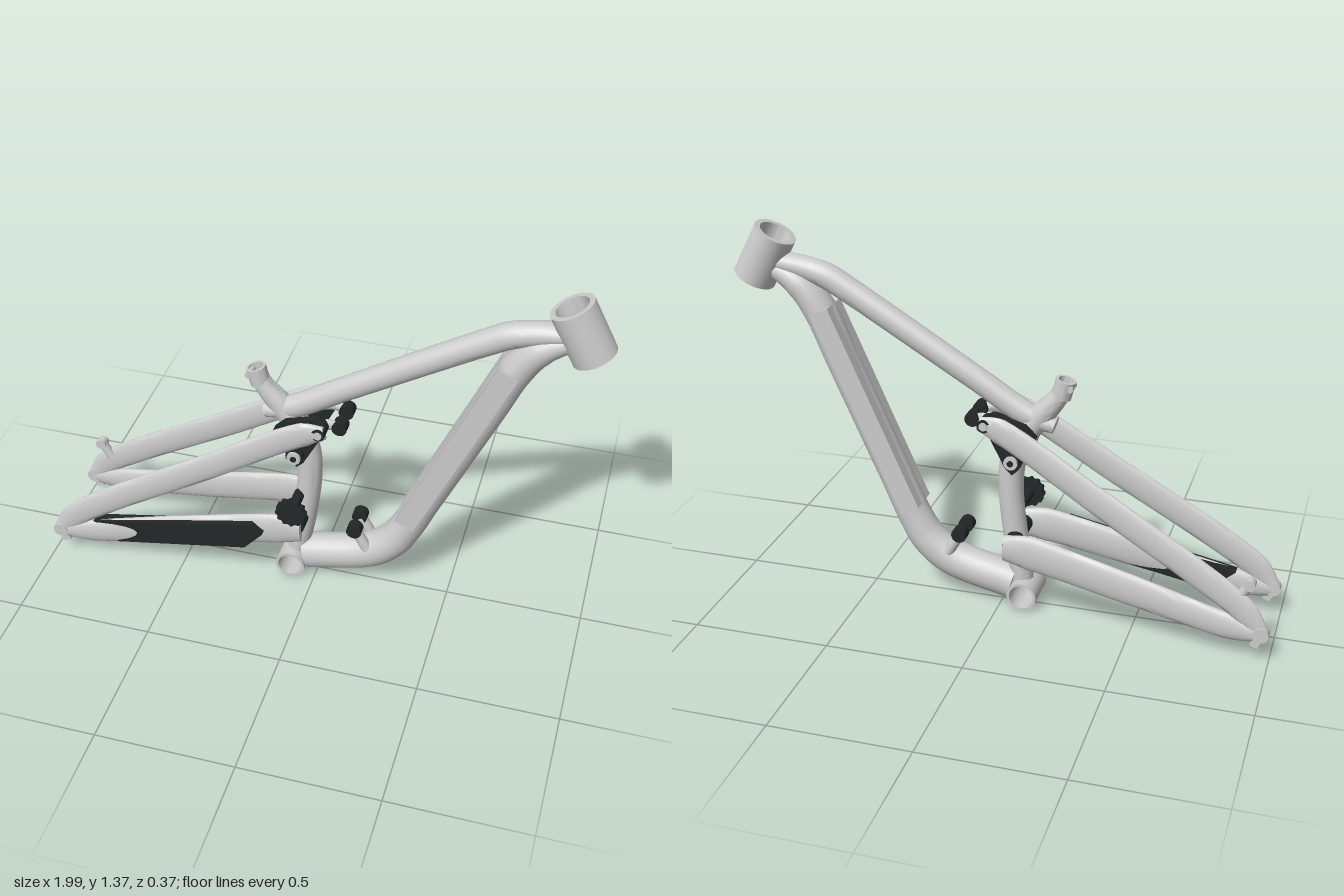
import * as THREE from 'three';
import { toCreasedNormals } from 'three/addons/utils/BufferGeometryUtils.js';

const grey = new THREE.MeshStandardMaterial({ color: 0xcccccc });
const dark = new THREE.MeshStandardMaterial({ color: 0x232727 });
const V = (x, y, z = 0) => new THREE.Vector3(x, y, z);
const UP = V(0, 1, 0);

function add(parent, name, geometry, material = grey) {
  const mesh = new THREE.Mesh(geometry, material);
  mesh.name = name;
  parent.add(mesh);
  return mesh;
}

// Oval tube through stations [x, y, z, half height, half width], with closed ends
function loft(stations, steps = 40, sides = 24) {
  const curve = new THREE.CatmullRomCurve3(stations.map((s) => V(s[0], s[1], s[2])), false, 'centripetal');
  const pos = [], index = [], last = stations.length - 1;
  for (let i = 0; i <= steps; i++) {
    const t = i / steps, c = curve.getPoint(t), T = curve.getTangent(t);
    const N = V(0, 0, 1).cross(T).normalize(), B = T.clone().cross(N);
    const k = Math.min(Math.floor(t * last), last - 1), f = t * last - k;
    const a = THREE.MathUtils.lerp(stations[k][3], stations[k + 1][3], f);
    const b = THREE.MathUtils.lerp(stations[k][4], stations[k + 1][4], f);
    for (let j = 0; j < sides; j++) {
      const w = (j / sides) * Math.PI * 2;
      const p = c.clone().addScaledVector(N, Math.cos(w) * a).addScaledVector(B, Math.sin(w) * b);
      pos.push(p.x, p.y, p.z);
    }
  }
  for (let i = 0; i < steps; i++) {
    for (let j = 0; j < sides; j++) {
      const n = (j + 1) % sides, r = i * sides, s = r + sides;
      index.push(r + j, r + n, s + n, r + j, s + n, s + j);
    }
  }
  const end = steps * sides;
  for (let j = 1; j < sides - 1; j++) index.push(0, j + 1, j, end, end + j, end + j + 1);
  const g = new THREE.BufferGeometry();
  g.setAttribute('position', new THREE.Float32BufferAttribute(pos, 3));
  g.setIndex(index);
  return toCreasedNormals(g, 0.8);
}

// Place a y-axis geometry between two points
function along(mesh, p, q) {
  mesh.position.copy(p).lerp(q, 0.5);
  mesh.quaternion.setFromUnitVectors(UP, q.clone().sub(p).normalize());
  return mesh;
}

function rod(parent, name, p, q, r, material = grey, sides = 24) {
  return along(add(parent, name, new THREE.CylinderGeometry(r, r, p.distanceTo(q), sides), material), p, q);
}

// Hollow tube with wall thickness
function pipe(parent, name, p, q, outer, inner) {
  const h = p.distanceTo(q) / 2;
  const profile = [[outer, -h], [outer, h], [inner, h], [inner, -h], [outer, -h]].map((v) => new THREE.Vector2(...v));
  return along(add(parent, name, toCreasedNormals(new THREE.LatheGeometry(profile, 40), 0.7)), p, q);
}

function plate(parent, name, outline, z, depth, material) {
  const shape = new THREE.Shape(outline.map((v) => new THREE.Vector2(...v)));
  const mesh = add(parent, name, new THREE.ExtrudeGeometry(shape, { depth, bevelEnabled: false }), material);
  mesh.position.z = z;
  return mesh;
}

export function createModel() {
  const model = new THREE.Group();
  model.name = 'suspensionBikeFrame';

  // Main triangle
  pipe(model, 'headTube', V(0.923, 1.166), V(0.832, 1.338), 0.077, 0.058);
  pipe(model, 'bottomBracketShell', V(-0.088, 0.06, -0.075), V(-0.088, 0.06, 0.075), 0.055, 0.045);
  add(model, 'topTube', loft([
    [0.83, 1.235, 0, 0.035, 0.045], [0.74, 1.22, 0, 0.042, 0.045], [0.65, 1.195, 0, 0.047, 0.045],
    [0.58, 1.158, 0, 0.047, 0.043], [0.1, 0.87, 0, 0.045, 0.04], [-0.09, 0.755, 0, 0.045, 0.04], [-0.19, 0.725, 0, 0.03, 0.035],
  ]));
  add(model, 'downTube', loft([
    [0.85, 1.215, 0, 0.035, 0.045], [0.75, 1.16, 0, 0.055, 0.06], [0.68, 1.07, 0, 0.06, 0.062],
    [0.6, 0.89, 0, 0.06, 0.062], [0.4, 0.44, 0, 0.06, 0.062], [0.335, 0.295, 0, 0.062, 0.063],
    [0.285, 0.215, 0, 0.066, 0.065], [0.2, 0.15, 0, 0.07, 0.065], [-0.04, 0.085, 0, 0.07, 0.065],
  ], 64));
  const panel = along(add(model, 'downTubeFlatPanel', new THREE.BoxGeometry(0.075, 0.8, 0.126)),
    V(0.36, 0.35), V(0.672, 1.06));
  panel.position.add(V(-0.017, 0.007));
  add(model, 'seatTube', loft([
    [-0.075, 0.1, 0, 0.04, 0.045], [-0.05, 0.26, 0, 0.045, 0.045], [-0.03, 0.45, 0, 0.045, 0.045],
    [-0.035, 0.56, 0, 0.047, 0.045], [-0.07, 0.67, 0, 0.05, 0.045], [-0.14, 0.76, 0, 0.045, 0.04],
    [-0.19, 0.82, 0, 0.036, 0.036], [-0.212, 0.855, 0, 0.032, 0.032],
  ]));
  pipe(model, 'seatClamp', V(-0.208, 0.835), V(-0.225, 0.9), 0.036, 0.026);
  rod(model, 'seatClampBolt', V(-0.245, 0.875, -0.03), V(-0.245, 0.875, 0.03), 0.012);

  // Swingarm, linkage and mounts, on both sides
  for (const s of [1, -1]) {
    const side = new THREE.Group();
    side.name = s > 0 ? 'frontSideSwingarm' : 'backSideSwingarm';
    model.add(side);

    add(side, 'seatStay', loft([
      [-0.965, 0.115, s * 0.165, 0.03, 0.014], [-0.91, 0.185, s * 0.163, 0.048, 0.016],
      [-0.8, 0.265, s * 0.157, 0.052, 0.017], [-0.4, 0.505, s * 0.137, 0.052, 0.017],
      [-0.02, 0.73, s * 0.117, 0.048, 0.017], [0.055, 0.75, s * 0.114, 0.026, 0.014],
    ]));
    add(side, 'chainStay', loft([
      [-0.97, 0.105, s * 0.166, 0.026, 0.016], [-0.85, 0.12, s * 0.158, 0.05, 0.02],
      [-0.5, 0.193, s * 0.135, 0.061, 0.02], [-0.13, 0.27, s * 0.118, 0.067, 0.022], [-0.035, 0.275, s * 0.11, 0.05, 0.022],
    ]));

    // Axle ends
    rod(side, 'dropout', V(-0.968, 0.112, s * 0.15), V(-0.968, 0.112, s * 0.184), 0.028);
    const hanger = add(side, 'dropoutHook', new THREE.BoxGeometry(0.03, 0.05, 0.02));
    hanger.position.set(-0.955, 0.085, s * 0.167);
    hanger.rotation.z = 0.4;

    // Main pivot
    rod(side, 'mainPivot', V(-0.055, 0.28, s * 0.03), V(-0.055, 0.28, s * 0.1), 0.03, dark);
    rod(side, 'mainPivotBolt', V(-0.055, 0.24, s * 0.06), V(-0.055, 0.24, s * 0.095), 0.015);

    // Rocker link with its pivots
    plate(side, 'rockerLink', [[-0.14, 0.7], [-0.08, 0.575], [-0.055, 0.55], [-0.03, 0.575],
      [0.03, 0.69], [0.06, 0.75], [0.02, 0.775], [-0.1, 0.74]], s > 0 ? 0.055 : -0.083, 0.028, dark);
    rod(side, 'rockerPivot', V(-0.058, 0.61, s * 0.04), V(-0.058, 0.61, s * 0.105), 0.032, dark);
    rod(side, 'rockerPivotBolt', V(-0.058, 0.61, s * 0.1), V(-0.058, 0.61, s * 0.115), 0.025);
    rod(side, 'rockerPivotCap', V(-0.058, 0.61, s * 0.11), V(-0.058, 0.61, s * 0.12), 0.011, dark);
    rod(side, 'seatStayPivot', V(0.035, 0.745, s * 0.06), V(0.035, 0.745, s * 0.13), 0.024, dark);
    rod(side, 'seatStayPivotBolt', V(0.035, 0.745, s * 0.128), V(0.035, 0.745, s * 0.135), 0.015);

    // Shock mounts
    add(side, 'upperShockArm', loft([[-0.02, 0.725, s * 0.065, 0.022, 0.014],
      [0.04, 0.745, s * 0.06, 0.022, 0.014], [0.09, 0.74, s * 0.05, 0.018, 0.012]], 12, 16));
    rod(side, 'upperShockBolt', V(0.095, 0.74, s * 0.025), V(0.095, 0.74, s * 0.07), 0.027, dark);
    rod(side, 'lowerShockPost', V(0.2, 0.185, s * 0.04), V(0.155, 0.265, s * 0.04), 0.02);
    rod(side, 'lowerShockBolt', V(0.152, 0.27, s * 0.022), V(0.152, 0.27, s * 0.062), 0.028, dark);
  }

  // Chain protector on the drive side
  plate(model, 'chainStayGuard', [[-0.835, 0.175], [-0.21, 0.303], [-0.165, 0.27],
    [-0.235, 0.19], [-0.74, 0.095]], 0.122, 0.043, dark);

  // Toothed chain guide roller
  const roller = new THREE.Shape();
  for (let i = 0; i < 48; i++) {
    const r = i % 4 < 2 ? 0.057 : 0.051, a = (i / 48) * Math.PI * 2;
    roller[i ? 'lineTo' : 'moveTo'](-0.06 + r * Math.cos(a), 0.385 + r * Math.sin(a));
  }
  add(model, 'chainRoller', new THREE.ExtrudeGeometry(roller, { depth: 0.024, bevelEnabled: false }), dark).position.z = 0.13;
  rod(model, 'chainRollerAxle', V(-0.06, 0.385, 0.03), V(-0.06, 0.385, 0.132), 0.02, dark);
  rod(model, 'chainRollerBolt', V(-0.06, 0.385, 0.15), V(-0.06, 0.385, 0.158), 0.012, dark);

  // Brake mount on the far stay
  rod(model, 'brakeMountPost', V(-0.88, 0.23, -0.152), V(-0.915, 0.29, -0.152), 0.018);
  rod(model, 'brakeMountEye', V(-0.918, 0.292, -0.172), V(-0.918, 0.292, -0.135), 0.02);
  return model;
}
